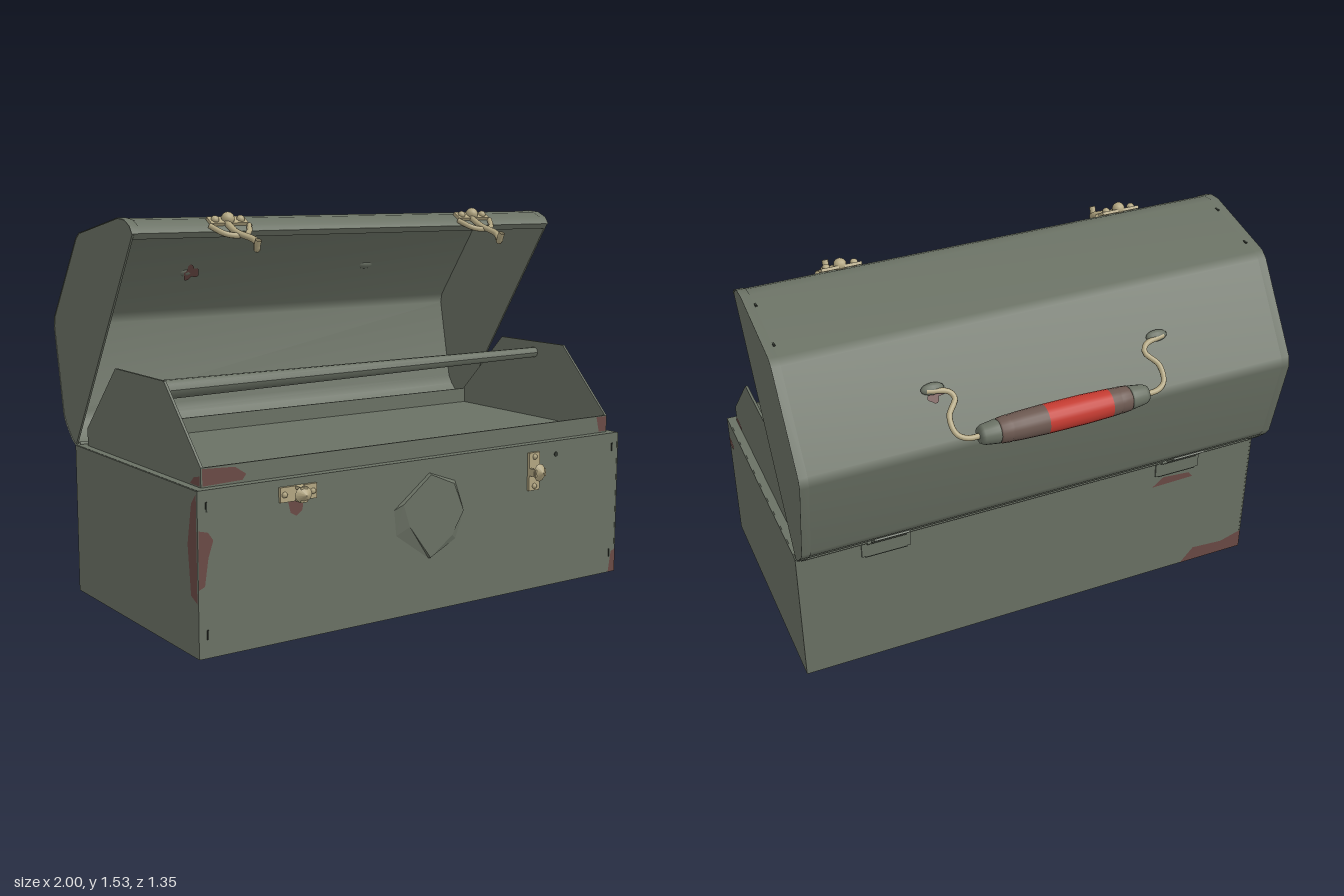
import * as THREE from 'three';

const V = (x, y, z) => new THREE.Vector3(x, y, z);
const mat = (name, color) => {
  const m = new THREE.MeshStandardMaterial({ color, side: THREE.DoubleSide });
  m.name = name;
  return m;
};

export function createModel() {
  const root = new THREE.Group();
  root.name = 'toolbox';
  const green = mat('olive paint', 0x6a7164), dark = mat('dark slot', 0x30352e),
    stain = mat('worn primer', 0x6a4a45), red = mat('red grip', 0xc43a30),
    brown = mat('faded grip', 0x6c5850), brass = mat('pale brass', 0xb3a782);

  const add = (name, geo, m, x = 0, y = 0, z = 0, parent = root) => {
    const mesh = new THREE.Mesh(geo, m);
    mesh.name = name;
    mesh.position.set(x, y, z);
    parent.add(mesh);
    return mesh;
  };
  const box = (name, m, w, h, d, x, y, z, parent) => add(name, new THREE.BoxGeometry(w, h, d), m, x, y, z, parent);
  const shape = (pts) => new THREE.Shape(pts.map(([a, b]) => new THREE.Vector2(a, b)));
  // plate with a (z, y) outline, facing sideways
  const sidePlate = (name, pts, x, t) => {
    const g = new THREE.ExtrudeGeometry(shape(pts), { depth: t, bevelEnabled: false });
    g.translate(0, 0, -t / 2).rotateY(-Math.PI / 2);
    return add(name, g, green, x);
  };
  // flat patch whose outline is local to pos, facing along n
  const patch = (name, m, pts, pos, n) => {
    const p = add(name, new THREE.ShapeGeometry(shape(pts)), m, pos.x, pos.y, pos.z);
    p.lookAt(pos.clone().add(n));
    return p;
  };
  const blob = (rx, ry, seed) => Array.from({ length: 26 }, (_, i) => {
    const a = i / 26 * Math.PI * 2;
    const r = 0.75 + 0.18 * Math.sin(3 * a + seed) + 0.13 * Math.sin(5 * a + seed * 2.3);
    return [rx * r * Math.cos(a), ry * r * Math.sin(a)];
  });
  const tube = (name, m, pts, r, parent) =>
    add(name, new THREE.TubeGeometry(new THREE.CatmullRomCurve3(pts), 28, r, 8), m, 0, 0, 0, parent);

  // lower case
  box('case', green, 1.99, 0.6, 1.01, 0, 0.3, 0.105);
  for (const s of [-1, 1]) box('caseEnd', green, 0.006, 0.598, 1.012, s * 0.997, 0.3, 0.105);

  // tray with shaped ends and low walls
  const trayEnd = [[0.575, 0.59], [0.575, 0.67], [0.31, 0.94], [-0.09, 0.94], [-0.36, 0.67], [-0.36, 0.59]];
  for (const s of [-1, 1]) sidePlate('trayEnd', trayEnd, s * 0.96, 0.01);
  box('trayFloor', green, 1.92, 0.006, 0.93, 0, 0.603, 0.107);
  box('trayFront', green, 1.92, 0.08, 0.008, 0, 0.63, 0.571);
  box('trayBack', green, 1.92, 0.08, 0.008, 0, 0.63, -0.356);

  // tray bar, thinner towards one end
  const barGeo = new THREE.CylinderGeometry(0.022, 0.038, 1.92, 10).rotateZ(-Math.PI / 2);
  const bp = barGeo.attributes.position;
  for (let i = 0; i < bp.count; i++) if (bp.getX(i) > 0) bp.setY(i, bp.getY(i) + 0.014);
  barGeo.computeVertexNormals();
  add('trayBar', barGeo, green, 0, 0.878, 0.13);

  // open lid: bent skin plus end caps with a small flange
  const lid = [[0.15, 1.455], [0.13, 1.482], [0.085, 1.503], [0.03, 1.508], [-0.315, 1.442], [-0.345, 1.42],
    [-0.575, 1.1], [-0.583, 1.06], [-0.512, 0.71], [-0.49, 0.675], [-0.435, 0.62], [-0.4, 0.602]];
  const skin = (name, x0, x1, k) => {
    const pos = [], idx = [];
    lid.forEach(([z, y], i) => {
      const zz = -0.2 + (z + 0.2) * k, yy = 1.08 + (y - 1.08) * k;
      pos.push(x0, yy, zz, x1, yy, zz);
      const a = 2 * i;
      if (i) idx.push(a - 2, a - 1, a, a - 1, a + 1, a);
    });
    // winding is chosen so the outer side is the front
    for (let i = 0; i < idx.length; i += 3) [idx[i + 1], idx[i + 2]] = [idx[i + 2], idx[i + 1]];
    const g = new THREE.BufferGeometry();
    g.setAttribute('position', new THREE.Float32BufferAttribute(pos, 3));
    g.setIndex(idx);
    g.computeVertexNormals();
    add(name, g, green);
  };
  skin('lidSkin', -0.99, 0.99, 1);
  for (const s of [-1, 1]) {
    sidePlate('lidEnd', lid, s * 0.993, 0.008);
    skin('lidFlange', Math.min(s * 0.965, s), Math.max(s * 0.965, s), 1.006);
  }
  const lip = box('lidLip', green, 1.98, 0.025, 0.006, 0, 1.447, 0.143);
  lip.rotation.x = 0.57;

  // hinges
  add('hingeRod', new THREE.CylinderGeometry(0.01, 0.01, 1.96, 8).rotateZ(Math.PI / 2), green, 0, 0.6, -0.405);
  for (const x of [-0.64, 0.64]) {
    box('hingePlate', green, 0.2, 0.07, 0.008, x, 0.56, -0.402);
    box('hingeSlot', dark, 0.17, 0.006, 0.004, x, 0.522, -0.403);
    const leaf = box('hingeLeaf', green, 0.14, 0.07, 0.008, x, 0.64, -0.462);
    leaf.rotation.x = -0.82;
    add('hingeKnuckle', new THREE.CylinderGeometry(0.014, 0.014, 0.16, 8).rotateZ(Math.PI / 2), green, x, 0.6, -0.407);
  }

  // faceted badge on the front
  const rim = [[0, 0.165], [-0.165, 0.04], [-0.155, -0.06], [0, -0.17], [0.13, -0.11], [0.17, -0.005], [0.125, 0.12]];
  const inner = [[0, 0.16], [-0.13, 0.06], [-0.1, -0.03], [0, -0.165], [0.105, -0.09], [0.16, 0], [0.112, 0.112]];
  const badge = [];
  rim.forEach((p, i) => {
    const j = (i + 1) % 7, q = rim[j], a = inner[i], b = inner[j], h = 0.013;
    badge.push(...p, 0, ...q, 0, ...a, h, ...q, 0, ...b, h, ...a, h, ...a, h, ...b, h, 0, 0, h);
  });
  const badgeGeo = new THREE.BufferGeometry();
  badgeGeo.setAttribute('position', new THREE.Float32BufferAttribute(badge, 3));
  badgeGeo.computeVertexNormals();
  add('frontBadge', badgeGeo, green, 0, 0.38, 0.611);

  // turn catches on the case, one turned sideways
  const turnCatch = (x, y, turn, drop) => {
    const g = new THREE.Group();
    g.name = 'turnCatch';
    box('catchPlate', brass, 0.055, 0.155, 0.012, 0, drop, 0.006, g);
    for (const s of [-1, 1]) {
      box('catchLeg', brass, 0.012, 0.03, 0.045, s * 0.022, 0, 0.026, g);
      add('catchScrew', new THREE.SphereGeometry(0.012, 8, 6), brass, 0, drop + s * 0.06, 0.01, g);
    }
    const head = add('catchHead', new THREE.ConeGeometry(0.036, 0.024, 12).rotateX(Math.PI / 2), brass, 0, 0, 0.054, g);
    head.scale.x = 0.85;
    g.position.set(x, y, 0.61);
    g.rotation.z = turn;
    root.add(g);
  };
  turnCatch(-0.595, 0.545, Math.PI / 2, 0);
  turnCatch(0.525, 0.49, 0, 0);

  // hanging clasps on the lid edge
  for (const [x, bend] of [[-0.59, 0.025], [0.59, 0.01]]) {
    const g = new THREE.Group();
    g.name = 'lidClasp';
    const plate = box('claspPlate', brass, 0.16, 0.012, 0.045, 0, 1.494, 0.122, g);
    plate.rotation.x = 0.55;
    for (const s of [-1, 0, 1])
      add('claspRivet', new THREE.SphereGeometry(s ? 0.016 : 0.026, 10, 8), brass, s * 0.055, s ? 1.5 : 1.503, 0.125, g);
    tube('claspBow', brass, [V(-0.085, 1.478, 0.14), V(-0.05, 1.45, 0.19), V(0, 1.442, 0.2), V(0.05, 1.45, 0.19),
      V(0.085, 1.478, 0.14)], 0.011, g);
    tube('claspArm', brass, [V(-0.01, 1.49, 0.13), V(0, 1.455, 0.19), V(bend + 0.02, 1.425, 0.25),
      V(bend, 1.395, 0.295), V(bend - 0.005, 1.41, 0.305), V(bend - 0.005, 1.43, 0.315)], 0.013, g);
    g.position.x = x;
    root.add(g);
  }

  // carrying handle: brackets, bent wire, barrel grip in colour bands
  const n = V(0, 0.58, -0.815);
  for (const s of [-1, 1]) {
    const br = add('handleBracket', new THREE.SphereGeometry(0.045, 12, 8), green, s * 0.455, 1.268, -0.468);
    br.scale.set(1, 0.5, 0.4);
    br.lookAt(br.position.clone().add(n));
    tube('handleWire', brass, [V(s * 0.48, 1.268, -0.475), V(s * 0.4, 1.255, -0.49), V(s * 0.385, 1.235, -0.51),
      V(s * 0.425, 1.195, -0.555), V(s * 0.42, 1.15, -0.605), V(s * 0.385, 1.132, -0.622), V(s * 0.3, 1.13, -0.622)], 0.011);
  }
  const band = (name, m, pts) => add(name, new THREE.LatheGeometry(pts.map(([x, r]) => new THREE.Vector2(r, x)), 20)
    .rotateZ(-Math.PI / 2), m, 0, 1.13, -0.622);
  band('gripEnd', green, [[-0.34, 0.001], [-0.34, 0.03], [-0.325, 0.038], [-0.27, 0.046], [-0.265, 0.042]]);
  band('gripFaded', brown, [[-0.265, 0.042], [-0.26, 0.048], [-0.225, 0.051], [-0.22, 0.048], [-0.215, 0.051], [-0.18, 0.053]]);
  band('gripRed', red, [[-0.18, 0.053], [-0.08, 0.056], [0, 0.056], [0.08, 0.056]]);
  band('gripFaded', brown, [[0.08, 0.056], [0.18, 0.053], [0.215, 0.051], [0.22, 0.048], [0.225, 0.051], [0.26, 0.048], [0.265, 0.042]]);
  band('gripEnd', green, [[0.265, 0.042], [0.27, 0.046], [0.325, 0.038], [0.34, 0.03], [0.34, 0.001]]);

  // small slots
  for (const s of [-1, 1]) {
    for (const y of [0.085, 0.54]) box('caseSlot', dark, 0.006, 0.035, 0.004, s * 0.965, y, 0.611);
    for (const z of [-0.03, -0.25]) box('lidSlot', dark, 0.008, 0.006, 0.02, s * 0.96, 1.508 + (z - 0.03) * 0.19, z);
  }
  add('keyHole', new THREE.CylinderGeometry(0.01, 0.01, 0.004, 10).rotateX(Math.PI / 2), dark, 0.65, 0.545, 0.611);

  // worn patches: front, tray rim, sides, back, lid
  const F = V(0, 0, 1), B = V(0, 0, -1), R = V(1, 0, 0), L = V(-1, 0, 0);
  const worn = (pts, pos, dir) => patch('wornPatch', stain, pts, pos, dir);
  worn([[-0.998, 0.25], [-0.975, 0.26], [-0.96, 0.36], [-0.94, 0.42], [-0.96, 0.45], [-0.998, 0.46]], V(0, 0, 0.613), F);
  worn([[0.96, 0.002], [0.998, 0.002], [0.998, 0.1], [0.975, 0.09]], V(0, 0, 0.613), F);
  worn([[-0.635, 0.515], [-0.625, 0.475], [-0.6, 0.46], [-0.575, 0.48], [-0.57, 0.515]], V(0, 0, 0.613), F);
  worn([[-0.96, 0.605], [-0.8, 0.61], [-0.785, 0.63], [-0.83, 0.66], [-0.96, 0.667]], V(0, 0, 0.577), F);
  worn([[0.92, 0.605], [0.96, 0.605], [0.96, 0.667], [0.905, 0.667]], V(0, 0, 0.577), F);
  worn([[-0.605, 0.47], [-0.55, 0.475], [-0.525, 0.5], [-0.56, 0.512], [-0.605, 0.51]], V(1.0015, 0, 0), R);
  worn([[-0.57, 0.605], [-0.48, 0.605], [-0.48, 0.62], [-0.53, 0.632], [-0.57, 0.625]], V(0.967, 0, 0), R);
  worn([[0.56, 0.22], [0.605, 0.2], [0.605, 0.59], [0.57, 0.55], [0.54, 0.4]], V(-1.0015, 0, 0), L);
  worn([[0.57, 0.605], [0.5, 0.605], [0.53, 0.632], [0.57, 0.64]], V(-0.967, 0, 0), L);
  worn([[0.7, 0.002], [0.998, 0.002], [0.998, 0.09], [0.9, 0.06], [0.76, 0.07]], V(0, 0, -0.403), B);
  worn([[0.53, 0.47], [0.72, 0.475], [0.7, 0.5], [0.58, 0.51]], V(0, 0, -0.403), B);
  worn(blob(0.045, 0.04, 1), V(0.45, 1.25, -0.474), n);
  worn(blob(0.045, 0.045, 2), V(-0.44, 1.262, -0.452), n.clone().negate());

  // worn patches underneath
  for (const [x, z, rx, rz, seed] of [[0.44, 0.235, 0.26, 0.22, 1], [-0.43, 0.05, 0.3, 0.33, 3], [-0.8, -0.24, 0.19, 0.15, 5]]) {
    const p = add('wornUnderside', new THREE.ShapeGeometry(shape(blob(rx, rz, seed))), stain, x, -0.002, z);
    p.rotation.x = Math.PI / 2;
  }
  return root;
}
